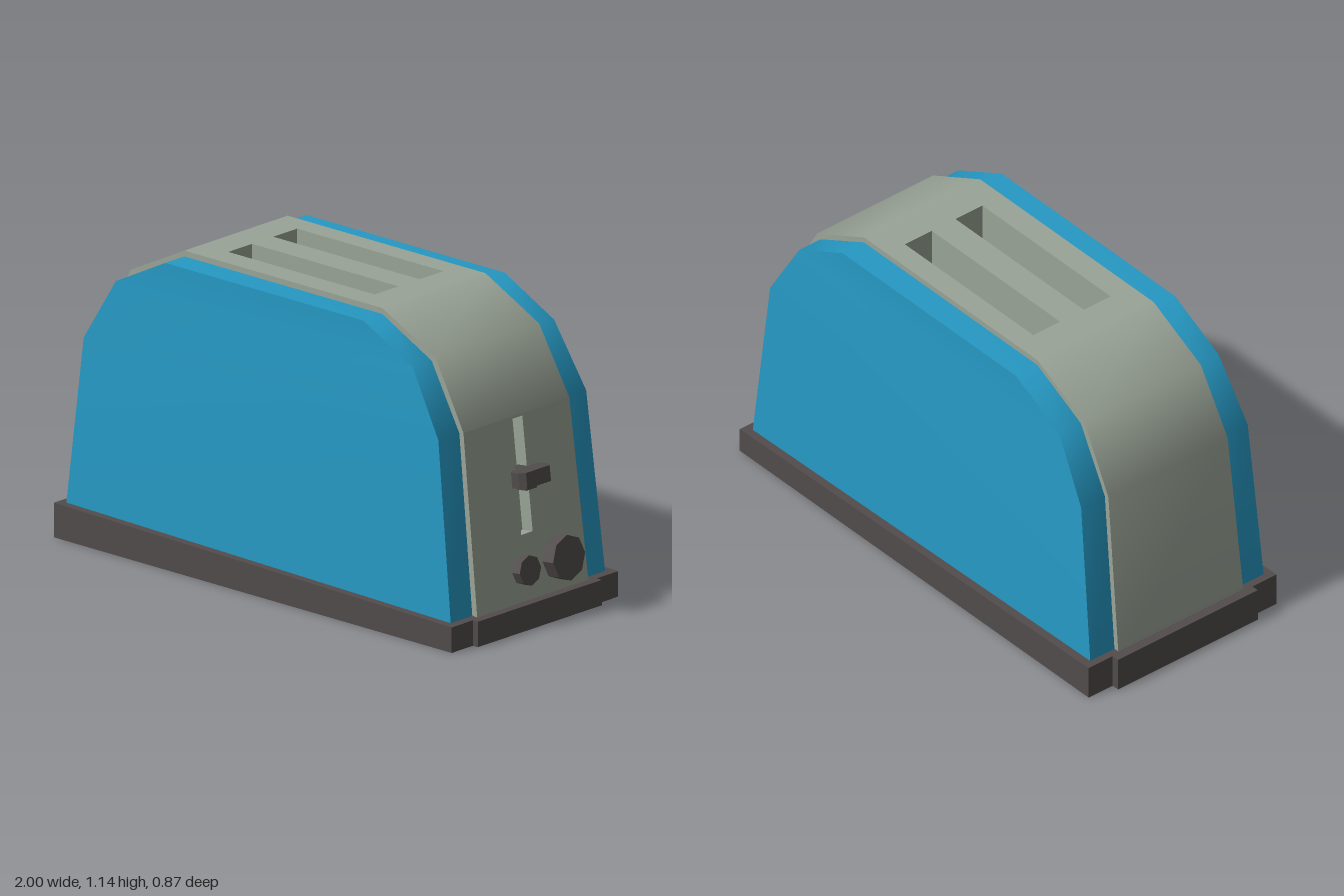
import * as THREE from 'three';

const blue = new THREE.MeshStandardMaterial({ color: 0x2699c4, side: THREE.DoubleSide });
const steel = new THREE.MeshStandardMaterial({ color: 0x9aa497, side: THREE.DoubleSide });
const dark = new THREE.MeshStandardMaterial({ color: 0x524c4c, flatShading: true });
blue.name = 'blue enamel';
steel.name = 'grey steel';
dark.name = 'dark plastic';

// Side outlines, left foot over the top to right foot: [x, y, half depth]
const steelProfile = [
  [-0.969, 0.05, 0.292], [-0.89, 0.765, 0.277], [-0.75, 1.012, 0.27], [-0.49, 1.142, 0.27],
  [0.47, 1.142, 0.27], [0.73, 1.012, 0.27], [0.87, 0.765, 0.277], [0.955, 0.05, 0.292],
];
const blueProfile = [
  [-0.948, 0.05, 0.405], [-0.87, 0.76, 0.387], [-0.73, 0.998, 0.37], [-0.49, 1.12, 0.37],
  [0.47, 1.12, 0.37], [0.71, 0.998, 0.37], [0.85, 0.76, 0.387], [0.931, 0.05, 0.405],
];

function mesh(name, geometry, material) {
  const m = new THREE.Mesh(geometry, material);
  m.name = name;
  return m;
}

function surface(points, index) {
  const g = new THREE.BufferGeometry();
  g.setAttribute('position', new THREE.Float32BufferAttribute(points.flat(), 3));
  g.setIndex(index);
  g.computeVertexNormals();
  return g;
}

// Smooth band along a profile; skipped segments are left open for pierced panels
function band(profile, zA, zB, skip = []) {
  const points = profile.flatMap((p) => [[p[0], p[1], zA(p)], [p[0], p[1], zB(p)]]);
  const build = (omit) => {
    const index = [];
    for (let i = 0; i < profile.length - 1; i++) {
      if (omit.includes(i)) continue;
      const a = i * 2;
      index.push(a, a + 1, a + 3, a, a + 3, a + 2);
    }
    return index;
  };
  const g = surface(points, build([]));
  g.setIndex(build(skip));
  return g;
}

// Flat side face made of rows joining the left and right halves of a profile
function sideFace(profile, s) {
  const points = profile.map(([x, y, w]) => [x, y, s * w]);
  const index = [];
  const n = profile.length;
  for (let i = 0; i < n / 2 - 1; i++) {
    const a = i, b = n - 1 - i, c = n - 2 - i, d = i + 1;
    if (s > 0) index.push(a, b, c, a, c, d);
    else index.push(a, c, b, a, d, c);
  }
  return surface(points, index).toNonIndexed();
}

// Flat panel between two profile points with rectangular slots [u0, u1, z0, z1]
function slottedPanel(name, p, q, slots, depth) {
  const group = new THREE.Group();
  group.name = name;
  const along = new THREE.Vector3(q[0] - p[0], q[1] - p[1], 0);
  const len = along.length();
  along.normalize();
  const across = new THREE.Vector3(0, 0, -1);
  const out = along.clone().cross(across);
  const frame = new THREE.Matrix4().makeBasis(along, across, out).setPosition(p[0], p[1], 0);

  const v = (x, y) => new THREE.Vector2(x, y);
  const shape = new THREE.Shape([v(0, -p[2]), v(len, -q[2]), v(len, q[2]), v(0, p[2])]);
  for (const [u0, u1, z0, z1] of slots) {
    shape.holes.push(new THREE.Path([v(u0, -z0), v(u1, -z0), v(u1, -z1), v(u0, -z1)]));
    // Open-topped recess behind the slot
    const box = new THREE.BoxGeometry(u1 - u0, z1 - z0, depth);
    const idx = Array.from(box.index.array);
    idx.splice(24, 6);
    box.setIndex(idx);
    box.clearGroups();
    box.translate((u0 + u1) / 2, -(z0 + z1) / 2, -depth / 2).applyMatrix4(frame);
    group.add(mesh('slotRecess', box, steel));
  }
  group.add(mesh('panel', new THREE.ShapeGeometry(shape).applyMatrix4(frame), steel));
  return group;
}

// Prism with a slanting top that follows the base
function basePart(name, x0, x1, halfDepth) {
  const top = (x) => 0.1125 - 0.0178 * x;
  const s = new THREE.Shape();
  s.moveTo(x0, 0);
  s.lineTo(x1, 0);
  s.lineTo(x1, top(x1));
  s.lineTo(x0, top(x0));
  const g = new THREE.ExtrudeGeometry(s, { depth: halfDepth * 2, bevelEnabled: false });
  return mesh(name, g.translate(0, 0, -halfDepth), dark);
}

export function createModel() {
  const model = new THREE.Group();
  model.name = 'toaster';

  // Steel body with bread slots and lever slot
  const body = new THREE.Group();
  body.name = 'body';
  body.add(mesh('shell', band(steelProfile, (p) => -p[2], (p) => p[2], [3, 6]), steel));
  for (const s of [1, -1]) body.add(mesh('bodySide', sideFace(steelProfile, s), steel));
  body.add(slottedPanel('topPanel', steelProfile[3], steelProfile[4],
    [[0.125, 0.835, -0.185, -0.06], [0.125, 0.835, 0.05, 0.175]], 0.3));
  body.add(slottedPanel('leverPanel', steelProfile[6], steelProfile[7],
    [[0.008, 0.433, -0.03, 0.03]], 0.05));
  model.add(body);

  // Blue side covers
  for (const s of [1, -1]) {
    const cover = new THREE.Group();
    cover.name = s > 0 ? 'frontCover' : 'backCover';
    const inner = () => s * 0.25, outer = (p) => s * p[2];
    cover.add(mesh('coverEdge', s > 0 ? band(blueProfile, inner, outer) : band(blueProfile, outer, inner), blue));
    cover.add(mesh('coverFace', sideFace(blueProfile, s), blue));
    model.add(cover);
  }

  // Base with a tab at each end
  model.add(basePart('base', -0.97, 0.96, 0.436));
  model.add(basePart('leftEndTab', -1.0, -0.97, 0.325));
  model.add(basePart('rightEndTab', 0.96, 0.984, 0.325));

  // Controls sit square to the leaning end wall
  const mount = (name, y, z) => {
    const g = new THREE.Group();
    g.name = name;
    g.position.set(0.949 - 0.119 * (y - 0.1), y, z);
    g.rotation.z = 0.119;
    model.add(g);
    return g;
  };
  for (const [name, y, z, r, len] of [['largeKnob', 0.215, -0.15, 0.084, 0.055], ['smallKnob', 0.211, 0.037, 0.056, 0.04]]) {
    const g = new THREE.CylinderGeometry(r, r, len, 8).rotateZ(-Math.PI / 2).translate(len / 2 - 0.003, 0, 0);
    mount(name, y, z).add(mesh('knob', g, dark));
  }

  // Lever: stem and handle with chamfered corners
  const lever = mount('lever', 0.545, 0);
  lever.add(mesh('leverStem', new THREE.BoxGeometry(0.085, 0.075, 0.056).translate(0.0, -0.008, 0), dark));
  const outline = [[0.012, -0.066], [0.024, -0.078], [0.058, -0.078], [0.082, -0.062],
    [0.082, 0.062], [0.058, 0.078], [0.024, 0.078], [0.012, 0.066]];
  const handle = new THREE.ExtrudeGeometry(new THREE.Shape(outline.map(([x, z]) => new THREE.Vector2(x, z))),
    { depth: 0.058, bevelEnabled: false });
  lever.add(mesh('leverHandle', handle.rotateX(-Math.PI / 2).translate(0, -0.026, 0), dark));

  return model;
}
